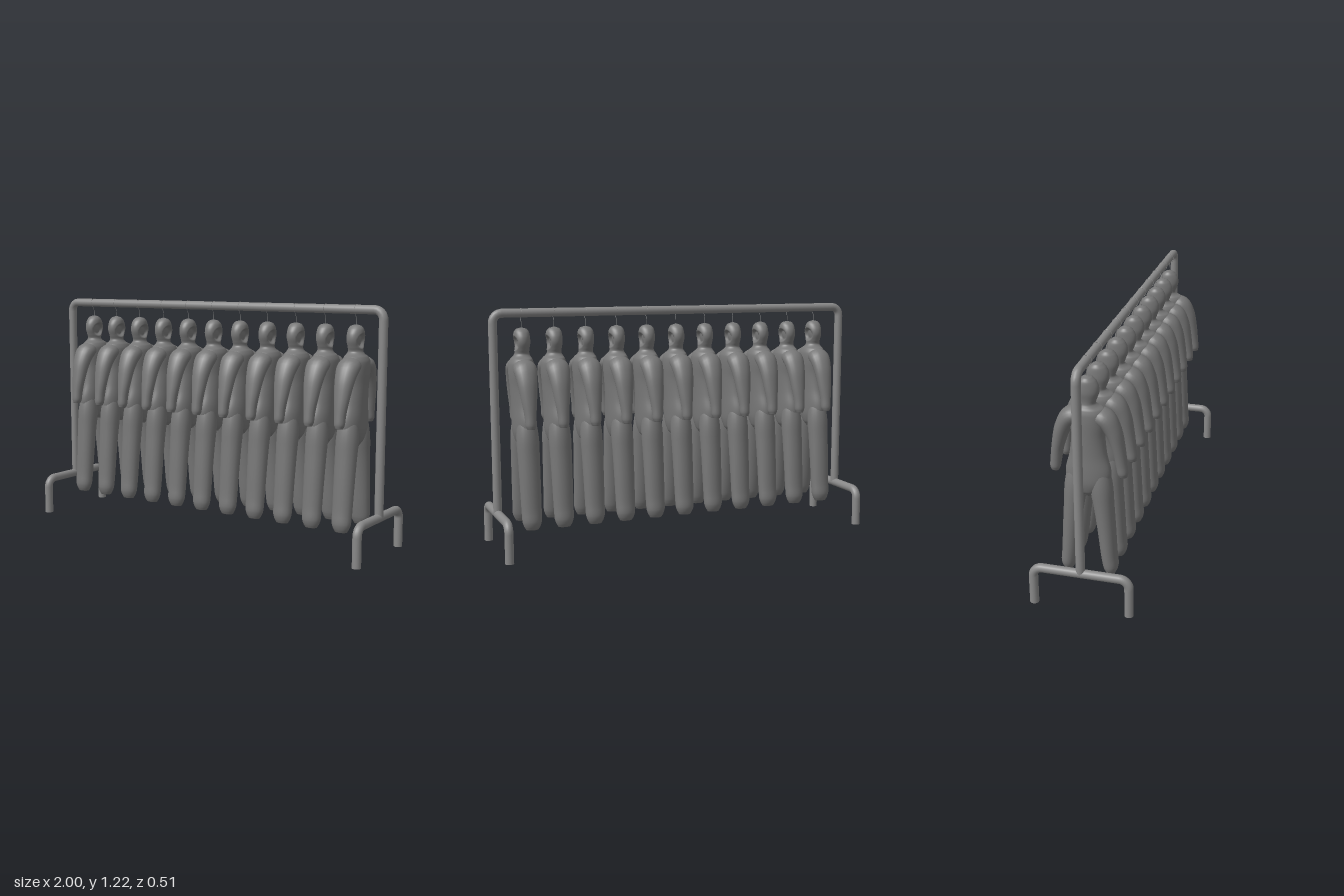
import * as THREE from 'three';

const steel = new THREE.MeshStandardMaterial({ color: 0x888888 });
const fabric = new THREE.MeshStandardMaterial({ color: 0x777777 });
const V = (x, y, z) => new THREE.Vector3(x, y, z);

function part(name, geometry, material, parent) {
  const mesh = new THREE.Mesh(geometry, material);
  mesh.name = name;
  parent.add(mesh);
  return mesh;
}

// Smooth closed loft through sections [x, y, z, radius in x, radius in the zy plane]
function loft(sections, rows, sides, rule) {
  const path = new THREE.CatmullRomCurve3(sections.map(s => V(s[0], s[1], s[2])), false, 'centripetal');
  const radii = new THREE.SplineCurve(sections.map(s => new THREE.Vector2(s[3], s[4])));
  const pos = [], index = [], xAxis = V(1, 0, 0);
  for (let i = 0; i <= rows; i++) {
    const t = i / rows, c = path.getPoint(t), r = radii.getPoint(t);
    const n = path.getTangent(t).setX(0).normalize().cross(xAxis);
    for (let j = 0; j < sides; j++) {
      const a = j / sides * Math.PI * 2;
      const p = c.clone().addScaledVector(xAxis, Math.cos(a) * r.x).addScaledVector(n, Math.sin(a) * r.y);
      if (rule) rule(p);
      pos.push(p.x, p.y, p.z);
      if (i < rows) {
        const k = i * sides + j, l = i * sides + (j + 1) % sides;
        index.push(k, l, l + sides, k, l + sides, k + sides);
      }
    }
  }
  // End caps
  const first = path.getPoint(0), last = path.getPoint(1), base = pos.length / 3, end = rows * sides;
  pos.push(first.x, first.y, first.z, last.x, last.y, last.z);
  for (let j = 0; j < sides; j++) {
    const l = (j + 1) % sides;
    index.push(base, l, j, base + 1, end + j, end + l);
  }
  const g = new THREE.BufferGeometry();
  g.setAttribute('position', new THREE.Float32BufferAttribute(pos, 3));
  g.setIndex(index);
  g.computeVertexNormals();
  return g;
}

// Bent pipe: straight runs with rounded corners
function pipe(points, radius, bend, segments) {
  const path = new THREE.CurvePath();
  let from = points[0];
  for (let i = 1; i < points.length - 1; i++) {
    const p = points[i];
    const a = p.clone().add(points[i - 1].clone().sub(p).setLength(bend));
    const b = p.clone().add(points[i + 1].clone().sub(p).setLength(bend));
    path.add(new THREE.LineCurve3(from, a));
    // Cubic handles that approximate a quarter circle
    path.add(new THREE.CubicBezierCurve3(a, a.clone().lerp(p, 0.55), b.clone().lerp(p, 0.55), b));
    from = b;
  }
  path.add(new THREE.LineCurve3(from, points[points.length - 1]));
  return new THREE.TubeGeometry(path, segments, radius, 16);
}

// Recessed face opening in the hood, facing +x
function faceOpening(p) {
  const d = Math.hypot(p.z / 0.042, (p.y - 1.045) / 0.038);
  if (p.x > 0) p.x -= 0.022 * (1 - THREE.MathUtils.smoothstep(d, 0.65, 1));
}

export function createModel() {
  const model = new THREE.Group();
  model.name = 'suitRack';

  // Rack
  const rack = new THREE.Group();
  rack.name = 'rack';
  model.add(rack);
  const R = 0.022, X = 0.977, top = 1.193, low = 0.193, Z = 0.232;
  part('railAndPosts', pipe([V(-X, low, 0), V(-X, top, 0), V(X, top, 0), V(X, low, 0)], R, 0.045, 260), steel, rack);
  for (const s of [-1, 1]) {
    part('foot', pipe([V(s * X, 0, Z), V(s * X, low, Z), V(s * X, low, -Z), V(s * X, 0, -Z)], R, 0.045, 100), steel, rack);
    for (const z of [-Z, Z]) {
      const cap = part('footCap', new THREE.CircleGeometry(R, 16), steel, rack);
      cap.rotation.x = Math.PI / 2;
      cap.position.set(s * X, 0, z);
    }
  }

  // Suit parts, shared by all suits
  const body = loft([
    [-0.004, 0.535, 0, 0.03, 0.028],
    [-0.004, 0.56, 0, 0.046, 0.06],
    [-0.004, 0.605, 0, 0.057, 0.1],
    [-0.003, 0.66, 0, 0.059, 0.107],
    [0, 0.74, 0, 0.058, 0.088],
    [0.003, 0.83, 0, 0.06, 0.079],
    [0.005, 0.9, 0, 0.063, 0.086],
    [0.005, 0.945, 0, 0.061, 0.088],
    [0.003, 0.968, 0, 0.053, 0.074],
    [0.001, 0.98, 0, 0.044, 0.05],
    [0, 0.993, 0, 0.037, 0.038],
    [0, 1.012, 0, 0.037, 0.044],
    [0, 1.045, 0, 0.042, 0.055],
    [0, 1.075, 0, 0.041, 0.053],
    [0, 1.1, 0, 0.037, 0.04],
    [0, 1.115, 0, 0.026, 0.023],
    [0, 1.121, 0, 0.008, 0.007],
  ], 96, 36, faceOpening);
  const limbs = {
    Arm: s => loft([
      [0.005, 0.925, s * 0.02, 0.045, 0.035],
      [0.005, 0.924, s * 0.075, 0.058, 0.044],
      [0.005, 0.87, s * 0.115, 0.051, 0.039],
      [0.004, 0.77, s * 0.144, 0.038, 0.03],
      [0.003, 0.7, s * 0.155, 0.029, 0.027],
      [0.003, 0.655, s * 0.161, 0.026, 0.025],
      [0.003, 0.636, s * 0.163, 0.018, 0.019],
    ], 28, 20),
    Leg: s => loft([
      [-0.003, 0.72, s * 0.04, 0.02, 0.02],
      [-0.003, 0.66, s * 0.05, 0.045, 0.046],
      [-0.004, 0.58, s * 0.06, 0.056, 0.054],
      [-0.005, 0.48, s * 0.072, 0.055, 0.048],
      [-0.006, 0.35, s * 0.085, 0.053, 0.043],
      [-0.007, 0.22, s * 0.096, 0.051, 0.039],
      [-0.007, 0.165, s * 0.103, 0.049, 0.037],
      [-0.007, 0.14, s * 0.104, 0.041, 0.03],
      [-0.007, 0.124, s * 0.104, 0.032, 0.022],
    ], 28, 20),
  };
  const limbParts = [];
  for (const kind of Object.keys(limbs)) {
    limbParts.push(['left' + kind, limbs[kind](-1)], ['right' + kind, limbs[kind](1)]);
  }

  // Thin wire hook that wraps over the rail
  const wire = [V(0, 1.1, 0), V(0, 1.15, 0), V(0, 1.167, 0.008)];
  for (let i = 0; i <= 6; i++) {
    const a = -0.5 + i / 6 * (Math.PI + 0.2);
    wire.push(V(0, top + Math.sin(a) * 0.0235, Math.cos(a) * 0.0235));
  }
  const hook = new THREE.TubeGeometry(new THREE.CatmullRomCurve3(wire), 32, 0.0013, 5);

  // Row of hanging suits
  for (let i = 0; i < 11; i++) {
    const suit = new THREE.Group();
    suit.name = 'suit' + (i + 1);
    suit.position.x = -0.815 + i * 0.165;
    part('hoodedBody', body, fabric, suit);
    for (const [name, geometry] of limbParts) part(name, geometry, fabric, suit);
    part('hook', hook, steel, suit);
    model.add(suit);
  }
  return model;
}
